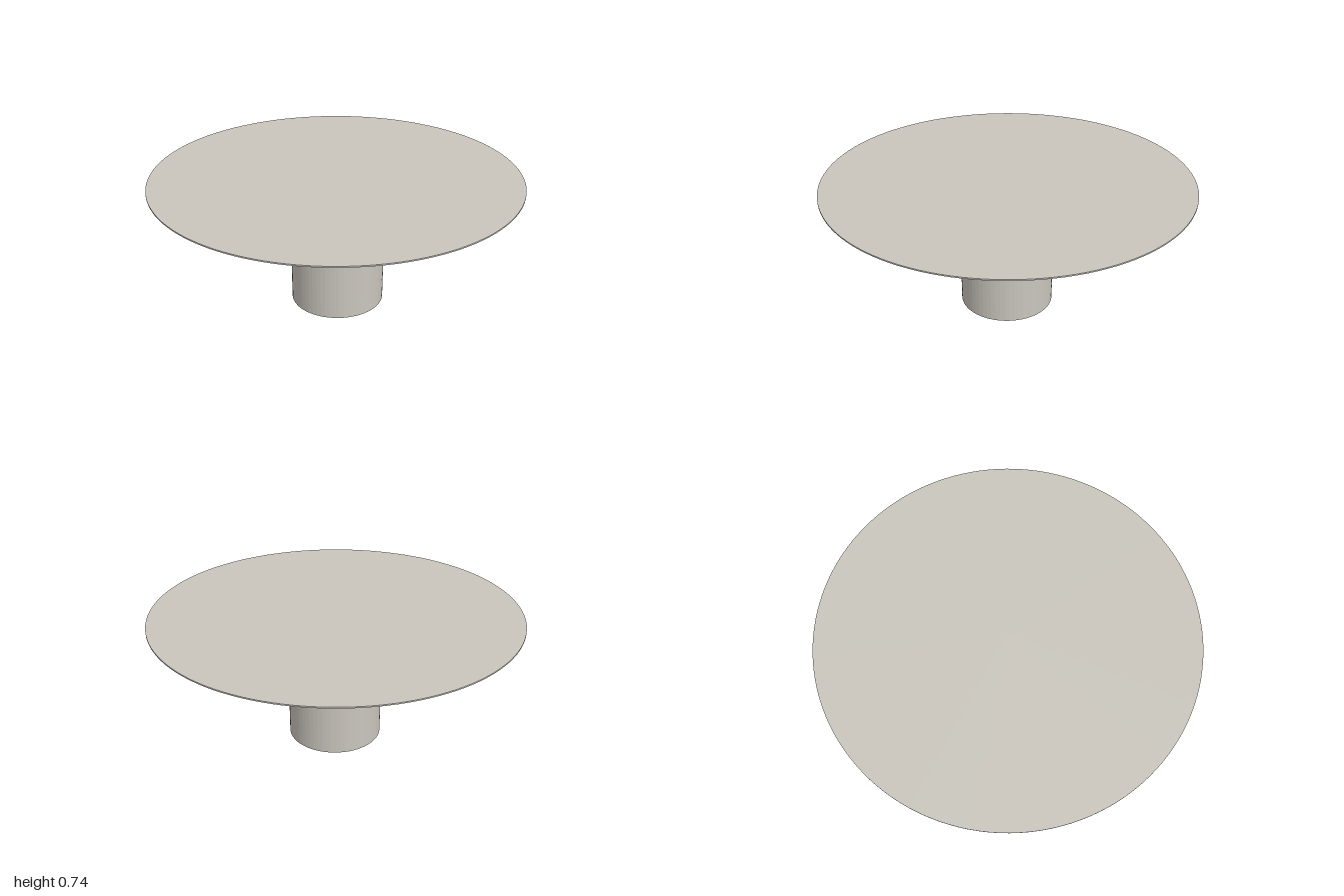
import * as THREE from 'three';

export function createModel() {
  const group = new THREE.Group();
  const stone = new THREE.MeshStandardMaterial({ color: 0xcac6bd });
  stone.name = 'warm grey stone';
  const columnStone = stone.clone();
  columnStone.flatShading = true;

  // A round section standing between two heights
  function disc(name, rTop, rBottom, y0, y1, sides, material, z = 0) {
    const mesh = new THREE.Mesh(
      new THREE.CylinderGeometry(rTop, rBottom, y1 - y0, sides), material);
    mesh.name = name;
    mesh.position.set(0, (y0 + y1) / 2, z);
    group.add(mesh);
  }

  // Thin round top with a chamfered underside
  disc('tabletopRim', 1, 1, 0.735, 0.742, 128, stone);
  disc('tabletopChamfer', 1, 0.915, 0.697, 0.735, 128, stone);

  // Faceted pedestal, set slightly forward
  disc('pedestal', 0.26, 0.26, 0, 0.697, 64, columnStone, 0.01);

  return group;
}
